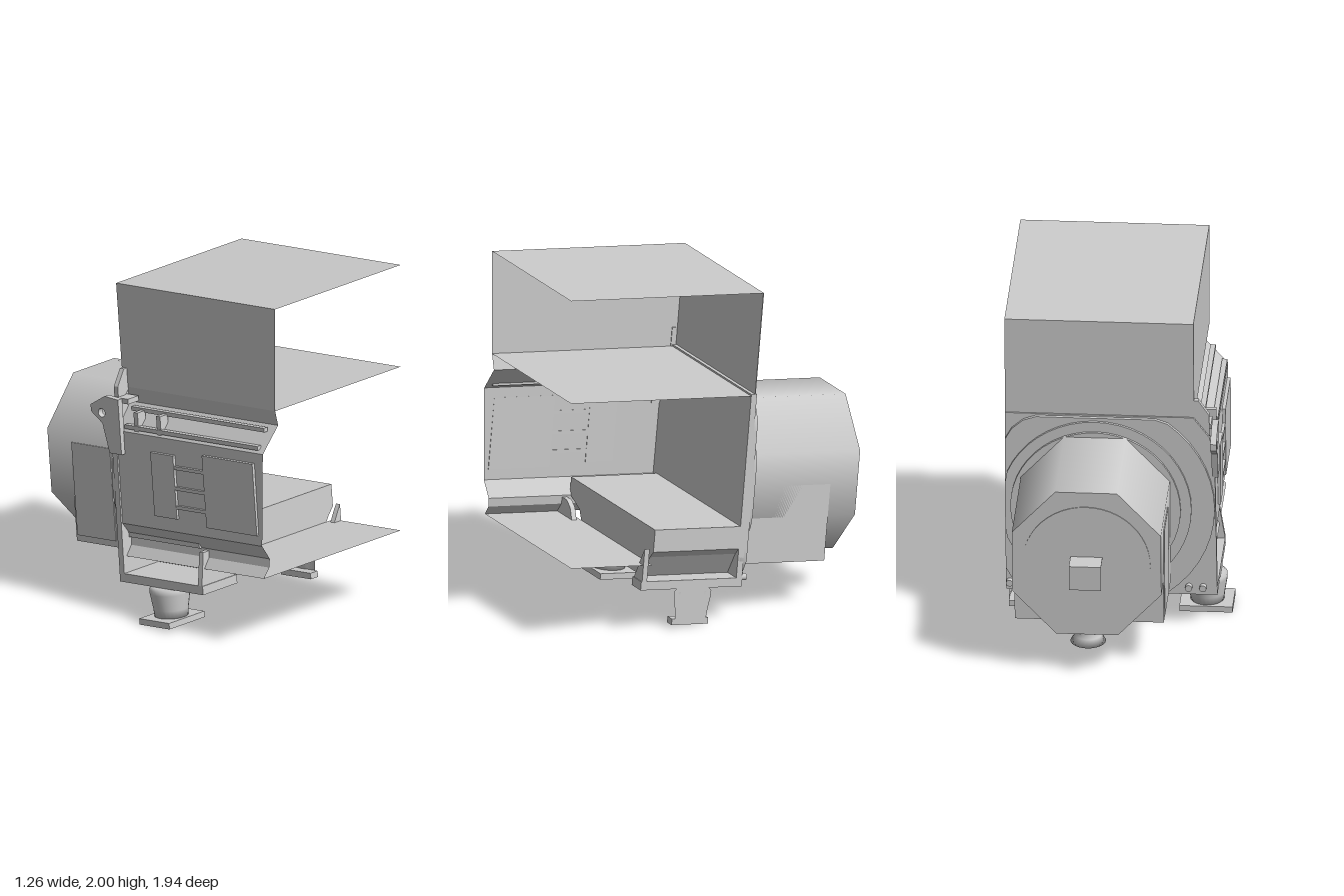
import * as THREE from 'three';

const TILT = THREE.MathUtils.degToRad(5);
const CUT_X = 0.63, CUT_Z = 0.97, AXIS_X = 0.12, AXIS_Y = 0.753;
const mat = new THREE.MeshStandardMaterial({ color: 0xcccccc, side: THREE.DoubleSide });

export function createModel() {
  const model = new THREE.Group();
  model.name = 'engineCutaway';
  const body = new THREE.Group();
  body.name = 'tiltedAssembly';
  body.rotation.x = -TILT;
  model.add(body);

  function add(name, geo, x = 0, y = 0, z = 0) {
    const m = new THREE.Mesh(geo, mat);
    m.name = name;
    m.position.set(x, y, z);
    body.add(m);
    return m;
  }
  // box given by its limits on each axis
  const box = (name, x0, x1, y0, y1, z0, z1) =>
    add(name, new THREE.BoxGeometry(x1 - x0, y1 - y0, z1 - z0), (x0 + x1) / 2, (y0 + y1) / 2, (z0 + z1) / 2);

  // keep a geometry inside the cutaway plane and optional top limit
  function trim(geo, maxY = Infinity) {
    const p = geo.attributes.position;
    for (let i = 0; i < p.count; i++) {
      p.setX(i, Math.min(p.getX(i), CUT_X));
      p.setY(i, Math.min(p.getY(i), maxY));
    }
    geo.computeVertexNormals();
    return geo;
  }

  // x-y outline extruded from z0 to z1
  function slab(name, pts, z0, z1) {
    const shape = new THREE.Shape(pts.map(([x, y]) => new THREE.Vector2(x, y)));
    const geo = new THREE.ExtrudeGeometry(shape, { depth: z1 - z0, bevelEnabled: false });
    geo.translate(0, 0, z0);
    return add(name, trim(geo));
  }

  // thin sheet: x-y profile swept from zBack to the upright front cut
  const frontZ = y => (CUT_Z + Math.sin(TILT) * y) / Math.cos(TILT);
  function sheet(name, pts, zBack) {
    const v = [];
    for (let i = 0; i < pts.length - 1; i++) {
      const [a, b] = [pts[i], pts[i + 1]];
      const a0 = [...a, zBack], b0 = [...b, zBack];
      const a1 = [...a, frontZ(a[1])], b1 = [...b, frontZ(b[1])];
      v.push(...a0, ...b0, ...b1, ...a0, ...b1, ...a1);
    }
    const geo = new THREE.BufferGeometry();
    geo.setAttribute('position', new THREE.Float32BufferAttribute(v, 3));
    geo.computeVertexNormals();
    return add(name, geo);
  }

  // disc on the shaft axis, facing along z
  function disc(r, z0, z1, sides = 48) {
    const geo = new THREE.CylinderGeometry(r, r, z1 - z0, sides);
    geo.rotateX(Math.PI / 2);
    geo.translate(AXIS_X, AXIS_Y, (z0 + z1) / 2);
    return geo;
  }

  // upper open housing
  sheet('upperHousing', [[CUT_X, 1.91], [-0.435, 1.91], [-0.435, 1.31], [CUT_X, 1.31]], -0.055);
  box('upperBackWall', -0.435, CUT_X, 1.31, 1.91, -0.057, -0.053);

  // engine block skin and floor
  sheet('blockSideWall', [[-0.435, 1.31], [-0.41, 1.22], [-0.54, 1.08], [-0.545, 0.54],
    [-0.48, 0.45], [-0.485, 0.4], [-0.53, 0.345]], -0.03);
  sheet('blockFloor', [[-0.53, 0.345], [CUT_X, 0.345]], 0.5);

  // pan with raised top between the feet
  slab('pan', [[-0.5, 0.55], [CUT_X, 0.55], [CUT_X, 0.42], [0.59, 0.38], [0.51, 0.25],
    [-0.27, 0.25], [-0.36, 0.4], [-0.5, 0.45]], -0.03, 0.5);

  // back plate and round flange
  slab('backPlate', [[-0.43, 1.32], [CUT_X, 1.32], [CUT_X, 0.2], [-0.56, 0.2], [-0.55, 1.08], [-0.52, 1.2]], -0.065, -0.03);
  add('flangeDisc', trim(disc(0.67, -0.085, -0.04), 1.31));
  add('collarOuter', trim(disc(0.54, -0.1, -0.085)));
  add('collarInner', disc(0.48, -0.115, -0.1));

  // feet and rubber mounts, mirrored about the shaft axis
  for (const side of [-1, 1]) {
    const mx = d => AXIS_X + side * d;
    const foot = pts => pts.map(([d, y]) => [mx(d), y]);
    slab('footShelf', foot([[0.39, 0.2], [0.39, 0.25], [0.68, 0.25], [0.68, 0.2]]), -0.03, 0.56);
    slab('footGusset', foot([[0.4, 0.25], [0.49, 0.41], [0.54, 0.44], [0.65, 0.44], [0.68, 0.25]]), 0.525, 0.555);
    slab('mountPlate', foot([[0.45, -0.01], [0.45, 0.025], [0.75, 0.025], [0.75, -0.01]]), 0.125, 0.35);
    const profile = [[0, 0.02], [0.095, 0.02], [0.1, 0.07], [0.115, 0.16], [0.115, 0.185], [0.1, 0.2], [0, 0.2]];
    const rubber = new THREE.LatheGeometry(profile.map(([r, y]) => new THREE.Vector2(r, y)), 28);
    rubber.translate(mx(0.6), 0, 0.235);
    add('mountRubber', trim(rubber));
    // flange bolts beside the foot
    for (const d of side < 0 ? [0.52, 0.6] : [0.44, 0.49]) {
      const bolt = new THREE.CylinderGeometry(0.02, 0.02, 0.03, 12);
      bolt.rotateX(Math.PI / 2);
      add('flangeBolt', bolt, mx(d), 0.25, -0.08);
    }
  }

  // generator: smooth eight-sided drum with a square lower front
  const drum = new THREE.CylinderGeometry(1, 1, 0.68, 8, 1, false, Math.PI / 8);
  drum.rotateX(Math.PI / 2);
  const k = 1 / Math.cos(Math.PI / 8);
  drum.scale(0.42 * k, 0.449 * k, 1);
  add('generatorDrum', drum, AXIS_X, AXIS_Y, -0.44);
  box('generatorBase', -0.3, 0.54, 0.304, 0.75, -0.612, -0.1);
  box('generatorSidePanel', -0.306, -0.3, 0.34, 0.88, -0.6, -0.31);
  add('rearCover', disc(0.36, -0.785, -0.775));

  // flared rear foot
  const flare = [[0.06, 0.42], [0.065, 0.3], [0.075, 0.265], [0.1, 0.225], [0, 0.225]];
  add('rearFoot', new THREE.LatheGeometry(flare.map(([r, y]) => new THREE.Vector2(r, y)), 24), AXIS_X, 0, -0.7);

  // shaft stub with bent guard
  const stub = new THREE.CylinderGeometry(0.05, 0.05, 0.1, 20);
  stub.rotateX(Math.PI / 2);
  add('shaftStub', stub, AXIS_X, 0.71, -0.825);
  box('guardTop', 0.03, 0.21, 0.791, 0.798, -0.9, -0.78);
  box('guardBack', 0.03, 0.21, 0.65, 0.798, -0.907, -0.9);

  // fittings on the outer side wall
  box('sidePanelFront', -0.56, -0.54, 0.6, 1.02, 0.62, 1.0);
  box('sidePanelRear', -0.56, -0.54, 0.62, 0.99, 0.23, 0.4);
  for (const y of [0.68, 0.79, 0.91]) box('sideBar', -0.558, -0.54, y, y + 0.02, 0.4, 0.62);
  for (const [x, y] of [[-0.46, 1.2], [-0.525, 1.11]]) box('chamferRail', x - 0.015, x + 0.015, y - 0.012, y + 0.012, 0.03, 1.03);
  for (const z of [0.1, 0.27]) box('railClip', -0.535, -0.47, 1.09, 1.2, z, z + 0.03);

  // lifting eye and its support
  const eye = new THREE.Shape([[0.02, 1.27], [-0.08, 1.28], [-0.19, 1.22], [-0.19, 1.18], [-0.11, 1.12], [-0.07, 0.95], [0.02, 0.95]]
    .map(([z, y]) => new THREE.Vector2(-z, y)));
  eye.holes.push(new THREE.Path().absarc(0.11, 1.18, 0.025, 0, Math.PI * 2, true));
  const eyeGeo = new THREE.ExtrudeGeometry(eye, { depth: 0.035, bevelEnabled: false, curveSegments: 12 });
  eyeGeo.rotateY(Math.PI / 2);
  add('liftingEye', eyeGeo, -0.57);
  slab('cornerBracket', [[-0.43, 1.42], [-0.46, 1.42], [-0.52, 1.33], [-0.52, 1.2], [-0.43, 1.3]], -0.05, -0.02);
  box('cornerTab', -0.53, -0.44, 1.24, 1.27, -0.04, 0.06);

  return model;
}
